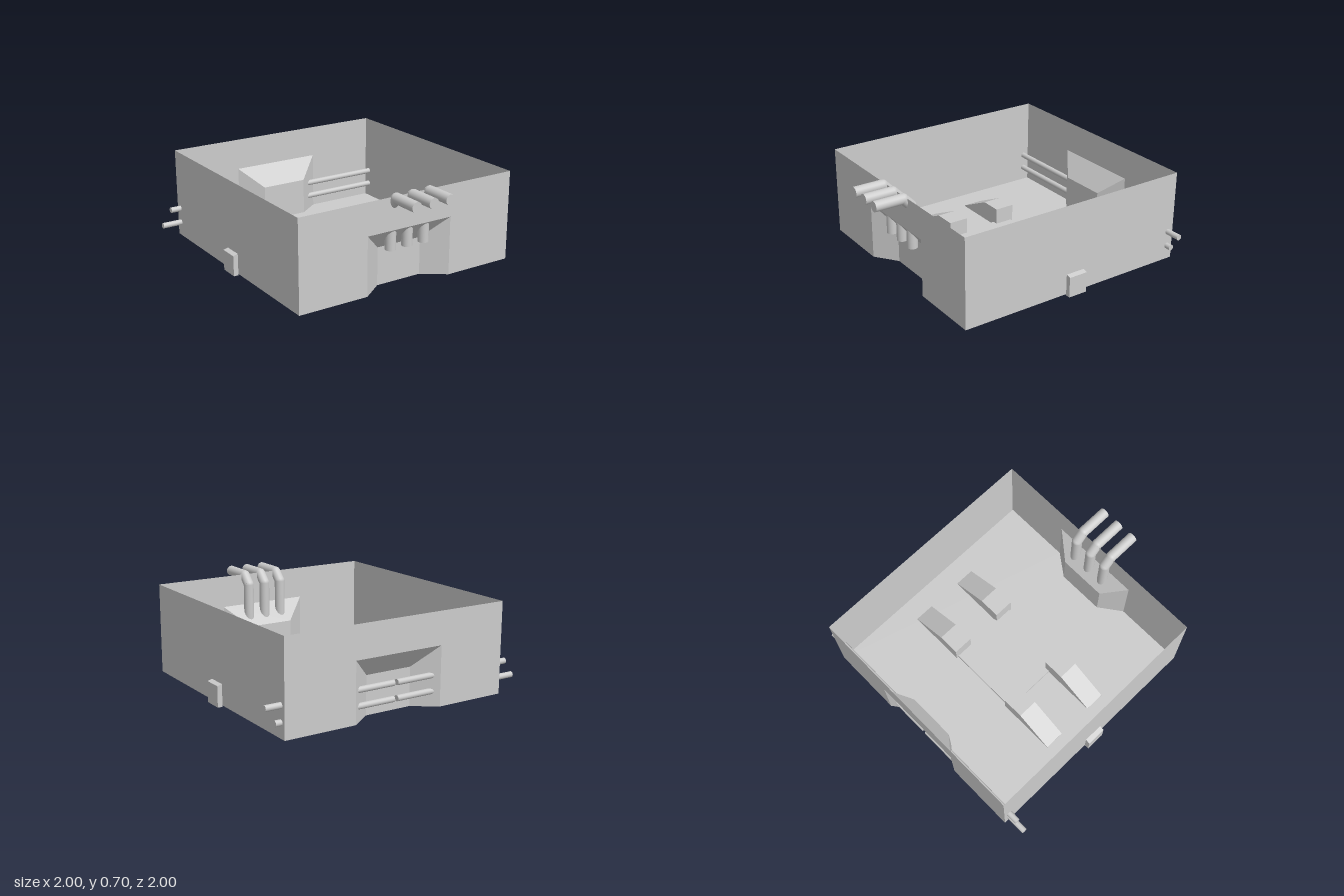
import * as THREE from 'three';

const material = new THREE.MeshStandardMaterial({ color: 0xcccccc, flatShading: true, side: THREE.DoubleSide });
const smooth = new THREE.MeshStandardMaterial({ color: 0xcccccc });

// Geometry from four-cornered faces, corners counter-clockwise from outside
function quads(list) {
  const points = list.flatMap(([a, b, c, d]) => [a, b, c, a, c, d]).flat();
  const geometry = new THREE.BufferGeometry();
  geometry.setAttribute('position', new THREE.Float32BufferAttribute(points, 3));
  geometry.computeVertexNormals();
  return geometry;
}

function add(parent, name, geometry, mat, x = 0, y = 0, z = 0) {
  const mesh = new THREE.Mesh(geometry, mat);
  mesh.name = name;
  mesh.position.set(x, y, z);
  parent.add(mesh);
  return mesh;
}

export function createModel() {
  const model = new THREE.Group();
  model.name = 'openTray';

  // Tray dimensions, measured from the tray's own middle
  const CX = 0.017, CZ = -0.117;
  const W = 0.867, D = 0.883, Y0 = 0.01, Y1 = 0.67;
  const outer = 0.342, inner = 0.178, depth = 0.12, outerTop = 0.435, innerTop = 0.285;
  const N = D - depth;

  const tray = new THREE.Group();
  tray.name = 'tray';
  tray.position.set(CX, 0, CZ);
  model.add(tray);

  // Thin side walls
  const sideWall = quads([[[W, Y0, D], [W, Y0, -D], [W, Y1, -D], [W, Y1, D]]]);
  add(tray, 'leftWall', sideWall, material);
  add(tray, 'rightWall', sideWall, material).rotation.y = Math.PI;

  // End wall with a tapered recess, used at the front and turned round for the back
  const endWall = quads([
    [[-W, Y0, D], [-outer, Y0, D], [-outer, Y1, D], [-W, Y1, D]],
    [[outer, Y0, D], [W, Y0, D], [W, Y1, D], [outer, Y1, D]],
    [[-outer, outerTop, D], [outer, outerTop, D], [outer, Y1, D], [-outer, Y1, D]],
  ]);
  const recess = quads([
    [[-outer, Y0, D], [-inner, Y0, N], [-inner, innerTop, N], [-outer, outerTop, D]],
    [[inner, Y0, N], [outer, Y0, D], [outer, outerTop, D], [inner, innerTop, N]],
    [[-inner, Y0, N], [inner, Y0, N], [inner, innerTop, N], [-inner, innerTop, N]],
    [[-inner, innerTop, N], [inner, innerTop, N], [outer, outerTop, D], [-outer, outerTop, D]],
  ]);
  for (const [end, turn] of [['front', 0], ['back', Math.PI]]) {
    add(tray, end + 'Wall', endWall, material).rotation.y = turn;
    add(tray, end + 'Recess', recess, material).rotation.y = turn;
  }

  // Floor, notched to follow both recesses
  const outline = [[-W, -D], [-outer, -D], [-inner, -N], [inner, -N], [outer, -D], [W, -D],
    [W, D], [outer, D], [inner, N], [-inner, N], [-outer, D], [-W, D]];
  const floor = new THREE.ShapeGeometry(new THREE.Shape(outline.map(([x, z]) => new THREE.Vector2(x, z))));
  floor.rotateX(Math.PI / 2);
  add(tray, 'floor', floor, material, 0, Y0, 0);

  // Four wedge blocks rising from the floor, their undersides forming the feet
  const wedge = new THREE.ExtrudeGeometry(new THREE.Shape([
    [0.26, 0], [0.7, 0], [0.7, 0.015], [0.42, 0.15], [0.26, 0.15],
  ].map(([x, y]) => new THREE.Vector2(x, y))), { depth: 0.148, bevelEnabled: false });
  wedge.translate(0, 0, -0.074);
  for (const z of [-0.325, 0.092]) {
    add(model, 'leftWedge', wedge, material, 0.028, 0, z);
    add(model, 'rightWedge', wedge, material, 0.028, 0, z).rotation.y = Math.PI;
  }

  // Low plate between the wedges
  add(model, 'centrePlate', new THREE.BoxGeometry(0.575, 0.02, 0.525), material, 0.017, 0.021, -0.12);

  // Small block on each side wall, its top sloping slightly outwards
  const block = new THREE.ExtrudeGeometry(new THREE.Shape([
    [0, 0], [0.035, 0], [0.035, 0.15], [0, 0.16],
  ].map(([x, y]) => new THREE.Vector2(x, y))), { depth: 0.145, bevelEnabled: false });
  block.translate(0, 0, -0.0725);
  add(model, 'leftSideBlock', block, material, CX + W, 0, -0.118);
  add(model, 'rightSideBlock', block, material, CX - W, 0, -0.118).rotation.y = Math.PI;

  // Three bent pipes rising from the front recess and out over the wall
  const stations = [[0.285, 0.72], [0.597, 0.72], [0.66, 0.78], [1.0 - 0.34, 1.0]]
    .map(([y, z]) => new THREE.Vector3(0, y, z));
  const R = 0.038, SIDES = 20;
  for (const x of [-0.11, 0.027, 0.164]) {
    const pipe = new THREE.Group();
    pipe.name = 'bentPipe';
    pipe.position.x = x;
    model.add(pipe);
    for (let i = 0; i < 3; i++) {
      const a = stations[i], b = stations[i + 1];
      const run = add(pipe, 'pipeRun', new THREE.CylinderGeometry(R, R, a.distanceTo(b), SIDES), smooth);
      run.position.copy(a).add(b).multiplyScalar(0.5);
      run.quaternion.setFromUnitVectors(new THREE.Vector3(0, 1, 0), b.clone().sub(a).normalize());
      if (i) add(pipe, 'pipeElbow', new THREE.SphereGeometry(R, SIDES, 12), smooth, 0, a.y, a.z);
    }
  }

  // Two rods along the back, each split in the middle of the recess
  const rods = [[0.225, -0.93, 1.0], [0.115, -1.0, 0.93]];
  for (const [y, from, to] of rods) {
    for (const [a, b] of [[from, 0.005], [0.03, to]]) {
      const rod = new THREE.CylinderGeometry(0.021, 0.021, b - a, 16);
      rod.rotateZ(Math.PI / 2);
      add(model, 'backRod', rod, smooth, (a + b) / 2, y, -0.955);
    }
  }

  return model;
}
